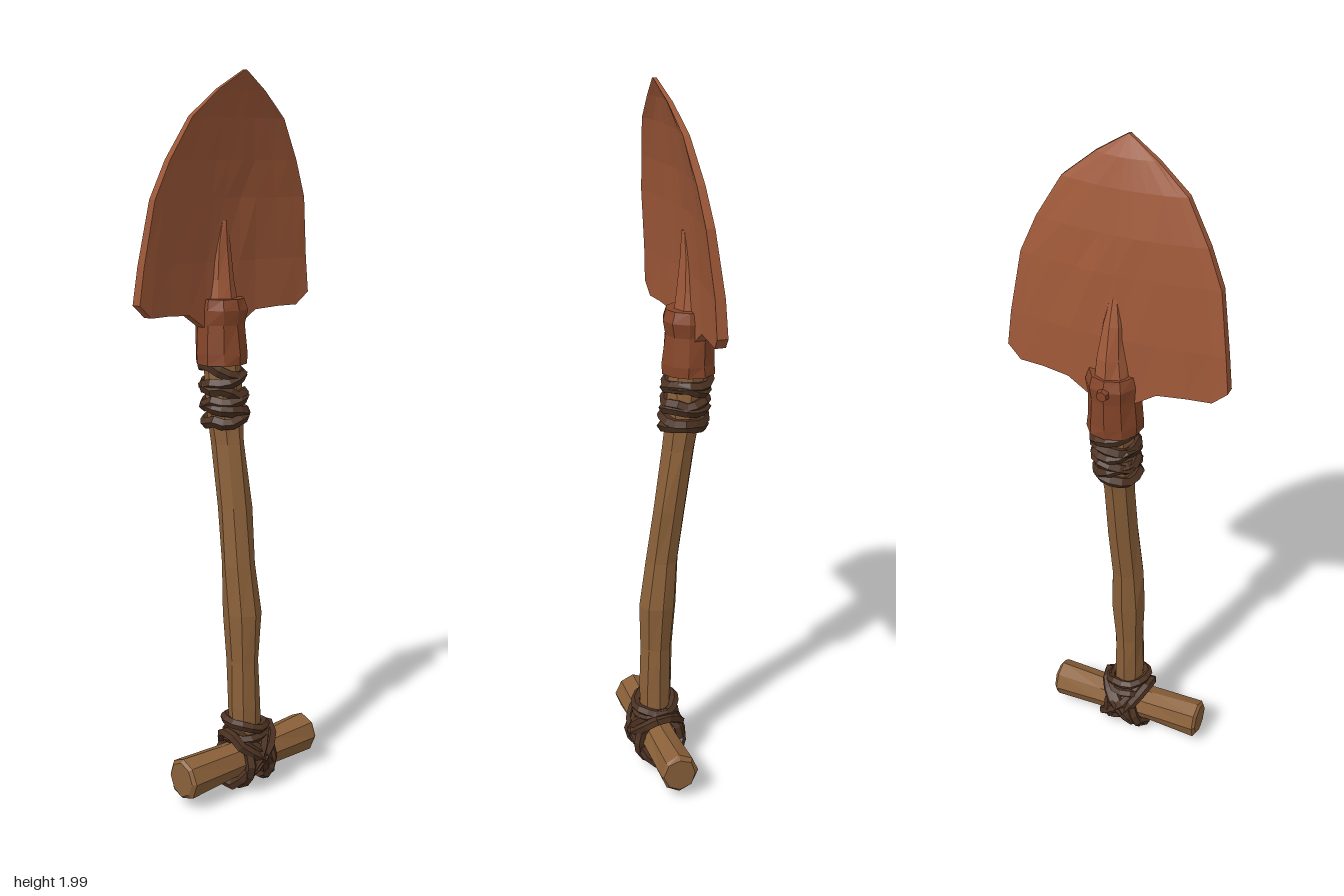
import * as THREE from 'three';

const mat = (color) => new THREE.MeshStandardMaterial({ color, flatShading: true });
const WOOD = mat(0x8a6039), IRON = mat(0x9e5838), SOCKET = mat(0x854529), CORD = mat(0x4c3222);

// small seeded noise, -1..1
let seed = 7;
const rnd = () => {
  seed = (seed * 16807) % 2147483647;
  return (seed / 2147483647) * 2 - 1;
};

// skin closed rings (counter-clockwise seen from +y, even count) from bottom to top, with caps
function loft(rings) {
  const n = rings[0].length, idx = [];
  for (let r = 0; r < rings.length - 1; r++) {
    for (let i = 0; i < n; i++) {
      const a = r * n + i, b = r * n + ((i + 1) % n);
      idx.push(a, b, b + n, a, b + n, a + n);
    }
  }
  const top = (rings.length - 1) * n;
  for (let k = 0; k < n / 2 - 1; k++) {
    const p = k, q = k + 1, s = n - 2 - k, t = n - 1 - k;
    idx.push(p, s, q, p, t, s);
    idx.push(top + p, top + q, top + s, top + p, top + s, top + t);
  }
  const g = new THREE.BufferGeometry();
  g.setAttribute('position', new THREE.Float32BufferAttribute(rings.flat(2), 3));
  g.setIndex(idx);
  g.computeVertexNormals();
  return g;
}

// rough hewn rod; sections are [y, centre x, centre z, radius x, radius z]
function rod(sections, sides, rough) {
  return loft(sections.map(([y, cx, cz, rx, rz]) =>
    Array.from({ length: sides }, (_, i) => {
      const a = (i / sides) * Math.PI * 2, k = 1 + rnd() * rough;
      return [cx + Math.sin(a) * rx * k, y, cz + Math.cos(a) * rz * k];
    })));
}

// one uneven cord loop, lying flat before it is tilted
function cordLoop(rx, rz, thick) {
  const pts = Array.from({ length: 9 }, (_, i) => {
    const a = (i / 9) * Math.PI * 2, k = 1 + rnd() * 0.05;
    return new THREE.Vector3(Math.sin(a) * rx * k, rnd() * 0.009, Math.cos(a) * rz * k);
  });
  return new THREE.TubeGeometry(new THREE.CatmullRomCurve3(pts, true), 14, thick, 5, true);
}

export function createModel() {
  const model = new THREE.Group();
  const add = (name, geometry, material, parent = model) => {
    const m = new THREE.Mesh(geometry, material);
    m.name = name;
    parent.add(m);
    return m;
  };

  // bent wooden shaft
  add('shaft', rod([
    [0.08, 0, 0.05, 0.045, 0.045], [0.25, -0.005, 0.048, 0.046, 0.047],
    [0.38, -0.005, 0.045, 0.045, 0.046], [0.52, -0.003, 0.04, 0.053, 0.052],
    [0.66, -0.005, 0.025, 0.048, 0.047], [0.82, 0, 0.004, 0.048, 0.046],
    [1.0, 0, -0.022, 0.046, 0.046], [1.1, 0, -0.037, 0.052, 0.052],
    [1.3, 0, -0.052, 0.052, 0.052],
  ], 8, 0.07), WOOD);

  // cross grip
  const grip = add('crossGrip', rod([
    [-0.243, 0, 0, 0.05, 0.045], [-0.235, 0, 0, 0.06, 0.056], [-0.08, 0, 0, 0.053, 0.052],
    [0.08, 0, 0, 0.052, 0.052], [0.23, 0, 0, 0.06, 0.056], [0.24, 0, 0, 0.05, 0.047],
  ], 8, 0.05), WOOD);
  grip.rotation.z = -Math.PI / 2;
  grip.position.set(0, 0.09, 0.05);

  // lashing where shaft and grip meet: crossed loops, upright loops, then shaft rings
  const lashing = new THREE.Group();
  lashing.name = 'gripLashing';
  model.add(lashing);
  for (const s of [-1, 1]) {
    for (const off of [-0.012, 0.014]) {
      const cross = add('crossedCord', cordLoop(0.094, 0.07, 0.015), CORD, lashing);
      cross.rotation.z = s * 0.88;
      cross.position.set(off, 0.1, 0.05);
    }
    const upright = add('uprightCord', cordLoop(0.068, 0.067, 0.016), CORD, lashing);
    upright.rotation.z = Math.PI / 2 + s * 0.12;
    upright.position.set(s * 0.04, 0.09, 0.05);
  }
  [0.165, 0.195].forEach((y, i) => {
    const ring = add('shaftCord', cordLoop(0.06, 0.057, 0.014), CORD, lashing);
    ring.rotation.z = i ? -0.1 : 0.14;
    ring.position.set(0, y, 0.049);
  });

  // cord wound below the socket
  const binding = new THREE.Group();
  binding.name = 'neckBinding';
  model.add(binding);
  for (let i = 0; i < 6; i++) {
    const coil = add('coil', cordLoop(0.054, 0.056, 0.017), CORD, binding);
    coil.rotation.set((i % 2 ? 0.1 : -0.12), 0, (i % 2 ? -0.2 : 0.16));
    coil.position.set(0, 1.065 + i * 0.027, -0.033 - i * 0.003);
  }

  // iron socket
  add('socket', rod([
    [1.22, 0, -0.05, 0.074, 0.074], [1.25, 0, -0.05, 0.076, 0.074],
    [1.33, 0, -0.053, 0.069, 0.071], [1.37, 0, -0.054, 0.073, 0.076],
    [1.4, 0, -0.054, 0.066, 0.068],
  ], 10, 0.04), SOCKET);
  const rivet = add('rivet', new THREE.CylinderGeometry(0.015, 0.019, 0.025, 6), SOCKET);
  rivet.rotation.x = -Math.PI / 2;
  rivet.position.set(0, 1.365, -0.127);

  // tapering rib up the middle of the blade
  add('rib', rod([
    [1.36, 0, -0.062, 0.056, 0.06], [1.45, 0, -0.062, 0.042, 0.045],
    [1.54, 0, -0.056, 0.03, 0.03], [1.61, 0, -0.046, 0.012, 0.016],
  ], 8, 0.06), IRON);

  // dished, pointed blade; rows are [y, half width, z at centre, forward lift of the edges, thickness]
  const rows = [
    [1.4, 0.308, -0.05, 0.028, 0.03], [1.5, 0.296, -0.045, 0.03, 0.028],
    [1.67, 0.27, -0.032, 0.03, 0.024], [1.77, 0.228, -0.018, 0.026, 0.022],
    [1.88, 0.165, 0.004, 0.02, 0.018], [1.95, 0.082, 0.026, 0.01, 0.014],
    [2.0, 0.003, 0.048, 0, 0.01],
  ];
  const cols = [-1, -0.87, -0.65, -0.4, -0.2, 0, 0.2, 0.4, 0.65, 0.87, 1];
  const bottomDrop = [0.1, 0.08, 0.04, 0.035, 0.035, 0]; // shoulder curve, centre to corner
  const bladeRings = rows.map(([y, w, z, lift, thick], r) => {
    const front = cols.map((u, i) => [
      u * w,
      y - (r === 0 ? bottomDrop[Math.abs(i - 5)] : 0),
      z + lift * Math.abs(u) ** 1.5 + (r < 6 ? rnd() * 0.003 : 0),
    ]);
    const back = front.map(([x, py, pz]) => [x, py, pz - thick]).reverse();
    return [...front, ...back];
  });
  add('blade', loft(bladeRings), IRON);

  return model;
}
